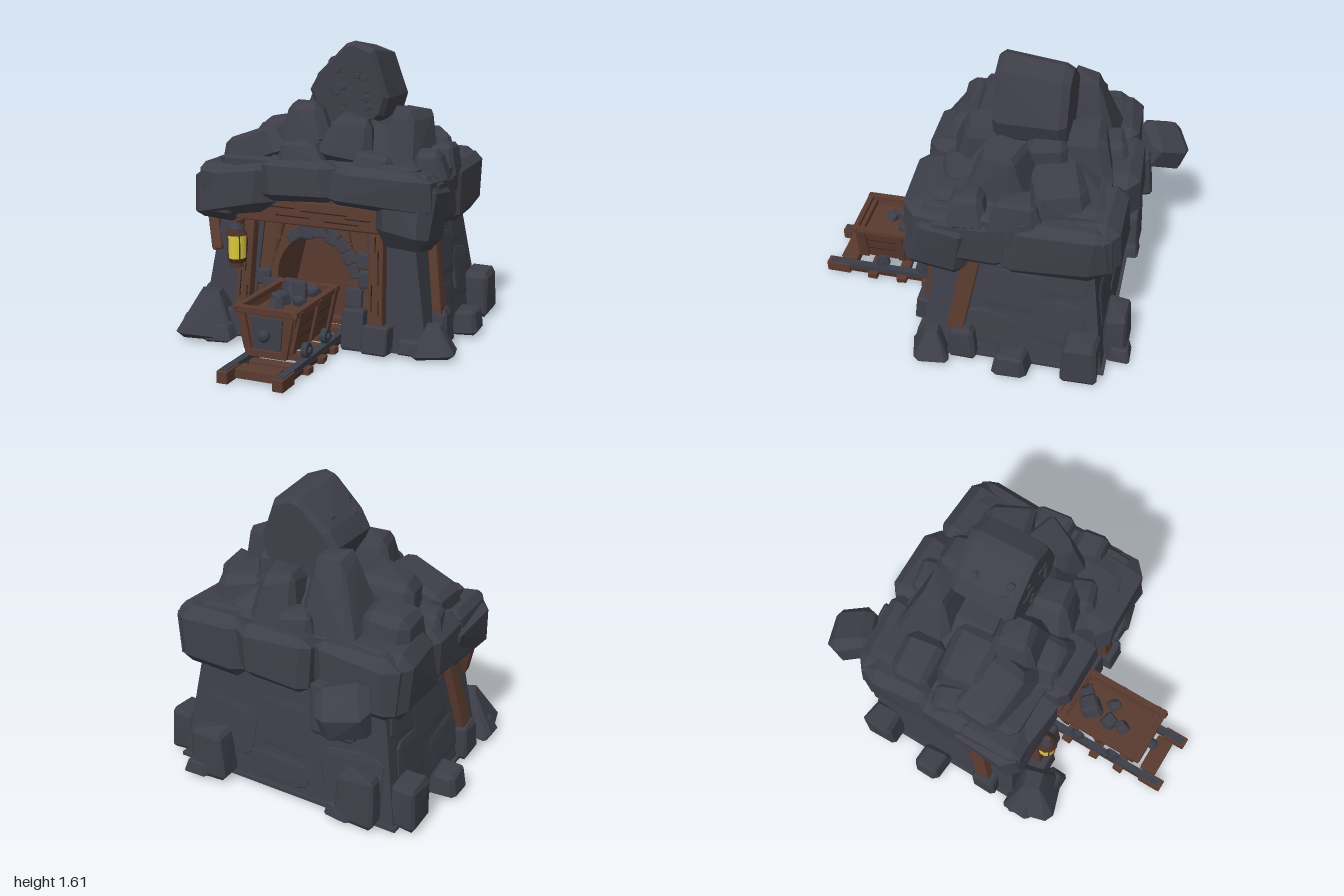
import * as THREE from 'three';
import { ConvexGeometry } from 'three/addons/geometries/ConvexGeometry.js';

const mat = (name, color) => Object.assign(new THREE.MeshStandardMaterial({ color }), { name });

export function createModel() {
  const root = new THREE.Group();
  root.name = 'mineEntrance';
  const stone = mat('stone', 0x3d3e48);
  const wood = mat('wood', 0x593a2f), darkWood = mat('dark wood', 0x4a2f28), grain = mat('wood grain', 0x2e1f1b);
  const iron = mat('iron', 0x3a3e49), glow = mat('lamp glass', 0xdcca3c);

  let seed = 7;
  const rnd = () => ((seed = (seed * 16807) % 2147483647) / 2147483647) * 2 - 1;
  const group = (name, parent = root) => {
    const g = new THREE.Group();
    g.name = name;
    parent.add(g);
    return g;
  };
  const add = (parent, name, geo, m, p = [0, 0, 0], r = [0, 0, 0]) => {
    const mesh = new THREE.Mesh(geo, m);
    mesh.name = name;
    mesh.position.set(...p);
    mesh.rotation.set(...r);
    parent.add(mesh);
    return mesh;
  };
  // Chamfered, jittered block; taper scales its top
  const block = (size, { taper = 1, cut = 0.28, jitter = 0.1 } = {}) => {
    const pts = [], h = size.map(v => v / 2);
    for (const sx of [-1, 1]) for (const sy of [-1, 1]) for (const sz of [-1, 1]) {
      const t = sy > 0 ? taper : 1;
      const c = cut * (1 + 0.4 * rnd()), j = [rnd(), rnd(), rnd()].map(v => v * jitter);
      for (let k = 0; k < 3; k++) {
        const q = [sx * t, sy, sz * t].map((v, i) => h[i] * v * (1 - (i === k ? 0 : c) + j[i]));
        pts.push(new THREE.Vector3(...q));
      }
    }
    return new ConvexGeometry(pts);
  };
  const rock = (parent, name, p, s, r, o) => add(parent, name, block(s, o), stone, p, r);
  const plank = (parent, name, p, s, r, m = wood) =>
    add(parent, name, block(s, { cut: 0.1, jitter: 0.03 }), m, p, r);
  // Beam running between two points
  const beam = (parent, name, a, b, w, d, m = wood) => {
    const A = new THREE.Vector3(...a), B = new THREE.Vector3(...b), dir = B.clone().sub(A);
    const mesh = plank(parent, name, A.clone().add(B).multiplyScalar(0.5).toArray(), [w, dir.length(), d], undefined, m);
    mesh.quaternion.setFromUnitVectors(new THREE.Vector3(0, 1, 0), dir.normalize());
    return mesh;
  };

  // Leaning stone walls around the tunnel, and the foot slab
  const plan = (w, f, b) => new THREE.Shape([[-w, -f], [-0.35, -f], [-0.35, 0.2], [0.35, 0.2], [0.35, -f], [w, -f], [w, b], [-w, b]]
    .map(p => new THREE.Vector2(...p)));
  const walls = new THREE.ExtrudeGeometry(plan(0.66, 0.28, 0.705), { depth: 0.75, bevelEnabled: false }).rotateX(-Math.PI / 2);
  const v = walls.attributes.position;
  for (let i = 0; i < v.count; i++) {
    const y = v.getY(i), z = v.getZ(i);
    v.setXYZ(i, v.getX(i) * (1 - 0.24 * y), y + 0.02, z > 0 ? z - 0.1 * y : z < -0.5 ? z + 0.13 * y : z);
  }
  walls.computeVertexNormals();
  add(root, 'walls', walls, stone);
  add(root, 'footSlab', new THREE.ExtrudeGeometry(plan(0.675, 0.3, 0.72), { depth: 0.02, bevelEnabled: false }).rotateX(-Math.PI / 2), stone, [0, 0.02, 0]);

  // Shallow stone faces set into the side and back walls
  const facing = group('wallFacing');
  for (const s of [-1, 1]) for (const [y, z, h, d] of [[0.2, -0.1, 0.2, 0.3], [0.45, -0.2, 0.24, 0.36], [0.3, -0.45, 0.26, 0.28], [0.55, -0.48, 0.2, 0.24]])
    rock(facing, 'sideFace', [s * (0.662 - 0.16 * y), y, z], [0.02, h, d], [0.2 * rnd(), 0, s * 0.158], { cut: 0.3 });
  for (const [x, y, w, h] of [[-0.4, 0.25, 0.34, 0.26], [-0.02, 0.4, 0.4, 0.28], [0.36, 0.3, 0.3, 0.3], [-0.3, 0.56, 0.3, 0.2], [0.05, 0.14, 0.36, 0.16]])
    rock(facing, 'backFace', [x, y, -0.706 + 0.13 * y], [w, h, 0.02], [0.13, 0, 0.2 * rnd()], { cut: 0.3 });

  // Heavy ring of boulders round the top of the walls
  const ledge = group('ledgeBoulders');
  rock(ledge, 'core', [0, 0.85, -0.2], [1.12, 0.28, 0.9], undefined, { jitter: 0.02, cut: 0.1 });
  for (const [x, y, z, w, h, d, rz = 0, rx = 0, ry = 0] of [
    [-0.43, 0.8, 0.12, 0.5, 0.27, 0.42, 0.14, -0.1, -0.12], [-0.05, 0.885, 0.2, 0.42, 0.22, 0.34, 0.03, -0.1],
    [0.39, 0.865, 0.16, 0.54, 0.22, 0.42, -0.08, -0.1, 0.05], [0.53, 0.755, 0.18, 0.3, 0.4, 0.34, -0.06, -0.15],
    [-0.55, 0.8, 0.13, 0.24, 0.31, 0.38, -0.05], [0.56, 0.81, 0.05, 0.24, 0.3, 0.42, 0.05],
    [0.54, 0.79, -0.44, 0.27, 0.33, 0.55, 0.05], [0.54, 0.87, -0.16, 0.24, 0.2, 0.3, 0.04],
    [-0.54, 0.8, -0.14, 0.26, 0.32, 0.4, -0.05], [-0.53, 0.8, -0.46, 0.28, 0.34, 0.46, -0.04, 0, 0.08],
    [-0.42, 0.81, -0.56, 0.46, 0.33, 0.34, 0.04, 0.1, 0.05], [0.02, 0.84, -0.62, 0.44, 0.29, 0.34, 0, 0.1],
    [0.42, 0.81, -0.58, 0.45, 0.33, 0.34, -0.03, 0.1, -0.05]])
    rock(ledge, 'ledgeBoulder', [x, y, z], [w, h, d], [rx, ry, rz], { taper: 1.02, cut: 0.32, jitter: 0.06 });
  rock(ledge, 'backOutcrop', [-0.46, 0.765, -0.84], [0.25, 0.19, 0.26], [-0.35, 0.5, 0], { cut: 0.32 });
  rock(ledge, 'hangingStone', [-0.36, 0.67, -0.72], [0.26, 0.27, 0.17], [0.08, 0.1, 0.05], { cut: 0.15 });

  // Piled rocks rising to the peak
  const pile = group('rockPile');
  for (const [x, y, z, w, h, d, rz = 0, ry = 0, taper = 0.75] of [
    [0.02, 1.04, -0.22, 1.0, 0.3, 0.8, 0, 0, 0.55], [-0.19, 1.14, -0.45, 0.35, 0.4, 0.34, -0.12, 0, 0.5],
    [0.12, 1.08, -0.47, 0.28, 0.28, 0.34, 0, 0.1], [-0.46, 0.99, -0.4, 0.32, 0.24, 0.3, 0.15, 0.1],
    [-0.32, 1.06, -0.17, 0.4, 0.23, 0.33, 0.25, 0.15], [-0.4, 1.03, 0.03, 0.42, 0.18, 0.28, 0.3, -0.1, 0.85],
    [-0.13, 1.16, 0.0, 0.3, 0.24, 0.3, 0.05, 0.2, 0.65], [-0.09, 1.03, 0.17, 0.26, 0.12, 0.22, 0.1, 0.1],
    [0.15, 1.09, 0.05, 0.32, 0.27, 0.28, -0.2, 0.2, 0.65], [0.41, 1.1, -0.12, 0.28, 0.31, 0.34, -0.05, -0.35, 0.6],
    [0.42, 0.99, -0.4, 0.34, 0.24, 0.36, -0.1, 0.4], [0.58, 0.97, 0.03, 0.19, 0.18, 0.22, 0.1, 0.2],
    [0.57, 0.97, -0.22, 0.2, 0.18, 0.28, 0, 0.1], [0.3, 0.98, 0.13, 0.24, 0.12, 0.22, -0.2, 0.3],
    [-0.03, 1.01, -0.6, 0.24, 0.14, 0.2, 0, 0.2], [-0.55, 0.96, -0.16, 0.18, 0.12, 0.22, 0.1, 0.3],
    [0.25, 1.14, -0.3, 0.22, 0.2, 0.26, -0.2, 0.2], [-0.2, 0.95, 0.2, 0.16, 0.1, 0.16, 0, 0.4]])
    rock(pile, 'pileRock', [x, y, z], [w, h, d], [0, ry, rz], { taper, cut: 0.3 });

  // Peak rock with pebbled front and left side
  const outline = [[-0.14, 1.34], [-0.08, 1.2], [0.0, 1.13], [0.2, 1.14], [0.28, 1.21], [0.31, 1.31], [0.23, 1.56], [0.12, 1.605], [0.07, 1.59], [0, 1.52], [-0.09, 1.43]];
  const peakPts = [];
  for (const [x, y] of outline) for (const [z, k] of [[-0.03, 0.92], [-0.06, 1.02], [-0.37, 1.02], [-0.41, 0.9]])
    peakPts.push(new THREE.Vector3(0.09 + (x - 0.09) * k, 1.36 + (y - 1.36) * k * (z < -0.3 && y > 1.4 ? 0.84 : 1), z));
  add(pile, 'peakRock', new ConvexGeometry(peakPts), stone);
  for (let i = 0; i < 12; i++) {
    const s = 0.03 + 0.012 * rnd();
    rock(pile, 'pebble', [0.11 + 0.12 * rnd(), 1.35 + 0.12 * rnd(), -0.03], [s, s, 0.014], [0, 0, rnd()]);
    if (i % 2) rock(pile, 'pebble', [-0.1 + i * 0.007, 1.41 + i * 0.0077, -0.2 + 0.13 * rnd()], [s, s, s], [0, 0, 0.8]);
  }

  // Stones around the foot
  const foot = group('footStones');
  for (const [x, y, z, w, h, d, taper = 0.8, ry = 0] of [
    [-0.56, 0.135, 0.36, 0.33, 0.25, 0.3, 0.45, 0.3], [-0.66, 0.07, 0.34, 0.16, 0.1, 0.18, 0.6], [-0.46, 0.06, 0.43, 0.16, 0.1, 0.12, 0.7],
    [0.68, 0.09, 0.22, 0.24, 0.16, 0.2, 0.45, 0.2], [0.57, 0.06, 0.27, 0.14, 0.08, 0.12],
    [0.65, 0.12, 0.05, 0.13, 0.2, 0.15, 0.9], [-0.65, 0.12, 0.1, 0.13, 0.2, 0.15, 0.9],
    [0.73, 0.08, -0.23, 0.15, 0.13, 0.19], [-0.73, 0.08, -0.24, 0.17, 0.14, 0.18],
    [0.69, 0.15, -0.59, 0.16, 0.26, 0.2, 0.9], [-0.69, 0.15, -0.59, 0.16, 0.26, 0.2, 0.9],
    [0.43, 0.16, -0.75, 0.23, 0.28, 0.15, 0.85], [-0.46, 0.16, -0.71, 0.24, 0.28, 0.13, 0.85],
    [0.5, 0.06, -0.78, 0.14, 0.08, 0.12], [-0.36, 0.06, -0.73, 0.15, 0.08, 0.1]])
    rock(foot, 'footStone', [x, y, z], [w, h, d], [0, ry, 0.05 * rnd()], { taper, cut: 0.24, jitter: 0.08 });

  // Timber-lined tunnel
  const tunnel = group('tunnel');
  for (let i = 0; i < 6; i++) {
    plank(tunnel, 'backPlank', [0, 0.07 + i * 0.11, -0.18], [0.68, 0.112, 0.02]);
    for (const s of [-1, 1])
      plank(tunnel, 'sidePlank', [s * (0.33 - 0.0275 * i), 0.07 + i * 0.11, 0.02], [0.02, 0.112, 0.42], [0, 0, s * 0.24]);
  }
  plank(tunnel, 'ceiling', [0, 0.68, 0.02], [0.62, 0.03, 0.46], undefined, darkWood);

  // Portal: timber wall with arch, stones, posts and lintel
  const portal = group('portal');
  portal.position.z = 0.275;
  portal.rotation.x = -0.11;
  const wall = new THREE.Shape([[-0.37, 0.02], [-0.21, 0.02], [-0.21, 0.375]].map(p => new THREE.Vector2(...p)));
  wall.absarc(0, 0.375, 0.21, Math.PI, 0, true);
  [[0.21, 0.02], [0.37, 0.02], [0.35, 0.7], [-0.35, 0.7]].forEach(p => wall.lineTo(...p));
  add(portal, 'timberWall', new THREE.ExtrudeGeometry(wall, { depth: 0.04, bevelEnabled: false }), wood, [0, 0, -0.04]);
  // Arch stones, with a few fallen out on one side
  for (const i of [0, 1, 2, 3, 4, 5, 6]) {
    const a = Math.PI * (0.06 + i * 0.1);
    rock(portal, 'archStone', [Math.cos(a) * 0.242, 0.375 + Math.sin(a) * 0.236, 0], [0.06 + 0.02 * (i % 2), 0.078, 0.04], [0, 0, a + 0.1 * rnd()], { cut: 0.2 });
  }
  for (const s of [-1, 1]) {
    rock(portal, 'pillarFoot', [s * 0.26, 0.12, 0.02], [0.12, 0.22, 0.09], undefined, { cut: 0.12, jitter: 0.04 });
    rock(portal, 'pillarStone', [s * 0.245, 0.28, 0], [0.09, 0.11, 0.05], undefined, { cut: 0.15 });
    rock(portal, 'postFoot', [s * 0.4, 0.085, 0.04], [0.14, 0.15, 0.13], undefined, { cut: 0.1, jitter: 0.03 });
    beam(portal, 'post', [s * 0.39, 0.12, 0.03], [s * 0.37, 0.66, 0.03], 0.08, 0.08);
    for (const [dx, y, h] of [[-0.018, 0.3, 0.14], [0.012, 0.46, 0.18], [0.022, 0.25, 0.08], [-0.01, 0.58, 0.08]])
      add(portal, 'postGrain', new THREE.BoxGeometry(0.005, h, 0.004), grain, [s * 0.382 + dx, y, 0.071], [0, 0, s * 0.037]);
    // Leaning side props
    beam(root, 'sideProp', [s * 0.665, 0.2, 0.09], [s * 0.585, 0.72, -0.005], 0.05, 0.09);
  }
  for (const [x, y] of [[0.3, 0.38], [0.29, 0.48], [-0.29, 0.34]])
    rock(portal, 'wallStone', [x, y, 0], [0.08, 0.09, 0.04], [0, 0, 0.3 * rnd()], { cut: 0.25 });
  plank(portal, 'lintel', [0, 0.71, 0.03], [0.86, 0.13, 0.1], [0, 0, -0.02]);
  for (const [x, y, w] of [[-0.2, 0.735, 0.22], [0.08, 0.72, 0.26], [0.27, 0.7, 0.14], [-0.1, 0.69, 0.2], [0.18, 0.675, 0.2]])
    add(portal, 'lintelGrain', new THREE.BoxGeometry(w, 0.006, 0.004), grain, [x, y, 0.081], [0, 0, -0.02]);
  beam(root, 'loosePlank', [-0.57, 0.46, 0.24], [-0.64, 0.68, 0.16], 0.06, 0.05);

  // Lantern hung on a bracket
  const lantern = group('lantern');
  lantern.position.set(-0.4, 0, 0.35);
  beam(lantern, 'bracket', [0, 0.64, -0.12], [0, 0.65, 0.02], 0.025, 0.025);
  const ring = (name, y, r1, r2, h, m) => add(lantern, name, new THREE.CylinderGeometry(r1, r2, h, 10), m, [0, y, 0]);
  ring('glass', 0.52, 0.05, 0.048, 0.13, glow);
  ring('base', 0.445, 0.053, 0.042, 0.025, darkWood);
  ring('foot', 0.422, 0.03, 0.038, 0.025, darkWood);
  ring('cap', 0.604, 0.04, 0.062, 0.035, darkWood);
  ring('finial', 0.637, 0.02, 0.038, 0.03, iron);
  for (let i = 0; i < 4; i++) {
    const a = (i + 0.5) * Math.PI / 2;
    add(lantern, 'bar', new THREE.BoxGeometry(0.007, 0.14, 0.007), darkWood, [Math.cos(a) * 0.048, 0.52, Math.sin(a) * 0.048], [0, -a, 0]);
  }

  // Track
  const track = group('track');
  for (const s of [-1, 1]) {
    add(track, 'rail', new THREE.BoxGeometry(0.04, 0.03, 1.15), iron, [s * 0.15, 0.055, 0.405]);
    plank(track, 'stringer', [s * 0.15, 0.03, 0.39], [0.045, 0.025, 1.1], undefined, darkWood);
    plank(track, 'railEnd', [s * 0.15, 0.034, 0.93], [0.06, 0.065, 0.14]);
  }
  [-0.1, 0.06, 0.22, 0.38, 0.55, 0.72].forEach(z => plank(track, 'sleeper', [0, 0.025, z], [0.4, 0.035, 0.06], [0, 0.06 * rnd(), 0]));
  plank(track, 'endSleeper', [0, 0.04, 0.885], [0.23, 0.05, 0.1]);

  // Ore cart
  const cart = group('oreCart');
  const end = new THREE.Shape([[-0.11, 0.12], [0.11, 0.12], [0.155, 0.33], [-0.155, 0.33]].map(p => new THREE.Vector2(...p)));
  for (const z of [0.31, 0.77]) add(cart, 'endBoard', new THREE.ExtrudeGeometry(end, { depth: 0.025, bevelEnabled: false }), wood, [0, 0, z]);
  for (const s of [-1, 1]) {
    for (let i = 0; i < 3; i++) {
      plank(cart, 'sideBoard', [s * (0.118 + i * 0.0145), 0.155 + i * 0.068, 0.55], [0.02, 0.064, 0.48 + i * 0.015], [0, 0, -s * 0.21]);
      if (i) add(cart, 'boardGap', new THREE.BoxGeometry(0.008, 0.008, 0.46), grain, [s * (0.116 + i * 0.0145), 0.121 + i * 0.068, 0.55]);
    }
    plank(cart, 'topRail', [s * 0.158, 0.335, 0.55], [0.035, 0.03, 0.55]);
    for (const z of [0.33, 0.55, 0.77]) beam(cart, 'sideBrace', [s * 0.125, 0.12, z], [s * 0.172, 0.34, z], 0.02, 0.04);
    beam(cart, 'frontBrace', [s * 0.095, 0.11, 0.805], [s * 0.14, 0.34, 0.805], 0.035, 0.025);
    for (const z of [0.42, 0.66]) {
      add(cart, 'wheel', new THREE.CylinderGeometry(0.04, 0.04, 0.03, 14), iron, [s * 0.15, 0.108, z], [0, 0, Math.PI / 2]);
      add(cart, 'hub', new THREE.CylinderGeometry(0.018, 0.018, 0.05, 8), iron, [s * 0.155, 0.108, z], [0, 0, Math.PI / 2]);
    }
  }
  for (const z of [0.31, 0.81]) plank(cart, 'endRail', [0, 0.335, z], [0.35, 0.035, 0.03]);
  plank(cart, 'sill', [0, 0.115, 0.805], [0.22, 0.035, 0.03]);
  plank(cart, 'bed', [0, 0.29, 0.55], [0.26, 0.02, 0.46]);
  plank(cart, 'floor', [0, 0.12, 0.55], [0.22, 0.02, 0.48], undefined, darkWood);
  rock(cart, 'frontPlate', [0, 0.215, 0.797], [0.15, 0.17, 0.015], undefined, { taper: 1.15, cut: 0.1, jitter: 0.02 });
  add(cart, 'bumperStem', new THREE.CylinderGeometry(0.02, 0.025, 0.04, 10), iron, [0, 0.215, 0.81], [Math.PI / 2, 0, 0]);
  add(cart, 'bumper', new THREE.SphereGeometry(0.032, 12, 8), iron, [0, 0.215, 0.835]);
  for (const [x, z, s] of [[-0.02, 0.42, 0.13], [-0.04, 0.56, 0.09], [0.06, 0.54, 0.07], [-0.03, 0.64, 0.07], [0.05, 0.36, 0.08]])
    rock(cart, 'ore', [x, 0.29 + s * 0.3, z], [s, s, s], [0.5 * rnd(), rnd(), 0], { taper: 0.8 });

  return root;
}
